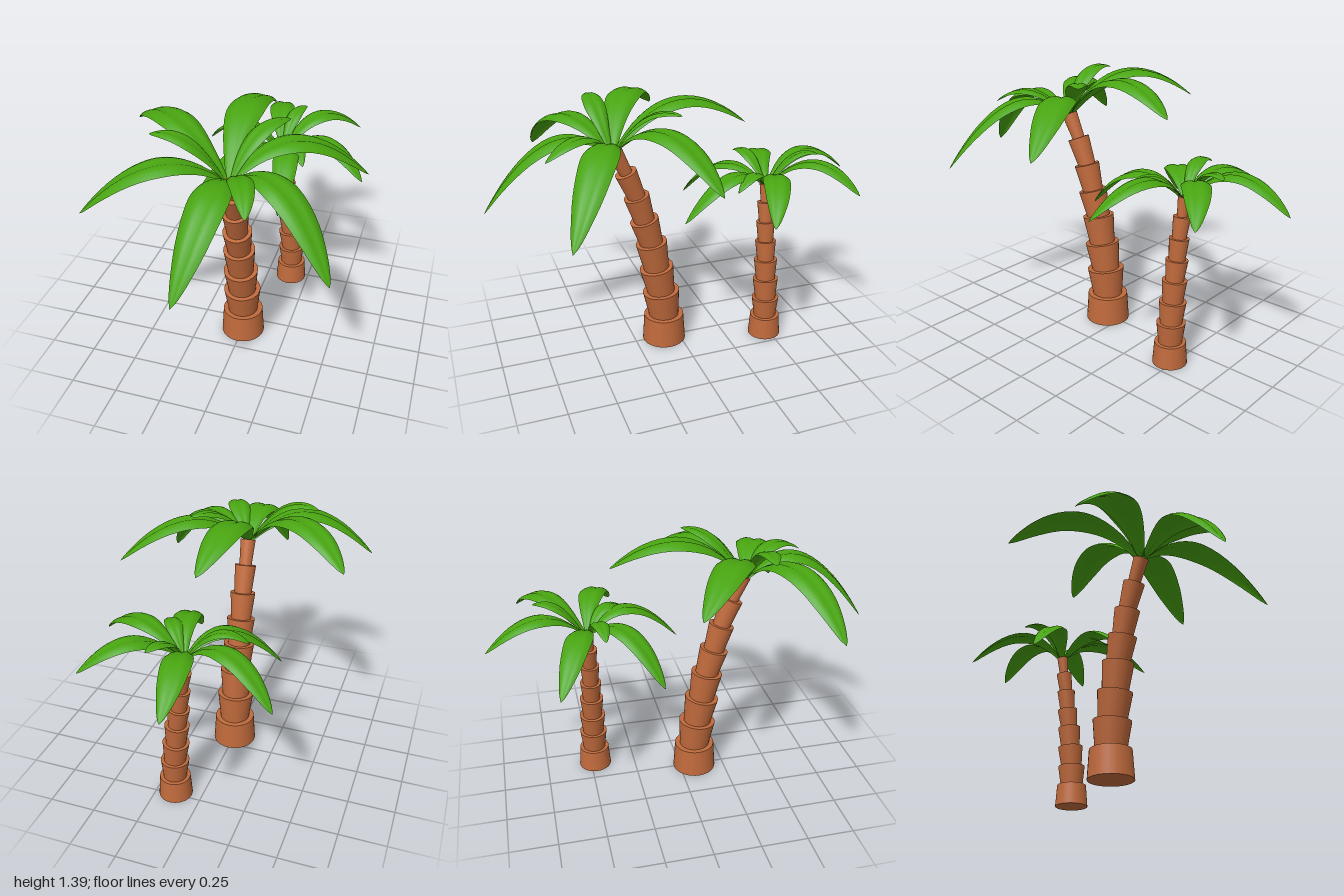
import * as THREE from 'three';

const bark = new THREE.MeshStandardMaterial({ color: 0xc06a3c });
const green = new THREE.MeshStandardMaterial({ color: 0x48a410, side: THREE.DoubleSide });
const UP = new THREE.Vector3(0, 1, 0);

// Half-width of a frond from stalk (0) to tip (1), as a fraction of its widest half-width
const WIDTHS = [[0, 0.2], [0.2, 0.62], [0.4, 0.95], [0.55, 1], [0.75, 0.84], [0.88, 0.56], [0.96, 0.28], [1, 0.02]];
const widthCurve = new THREE.SplineCurve(WIDTHS.map(([t, w]) => new THREE.Vector2(t, w)));

// Arched leaf: a gull-wing cross-section with a sunken midrib swept along a bowed curve
function frond(base, tip, lift, halfWidth) {
  const dir = tip.clone().sub(base).setY(0);
  const length = dir.length();
  dir.normalize();
  const side = new THREE.Vector3(dir.z, 0, -dir.x);
  const control = base.clone().lerp(tip, 0.45).addScaledVector(side, length * 0.1);
  control.y = (base.y + tip.y) / 2 + lift;
  const path = new THREE.QuadraticBezierCurve3(base, control, tip);

  const rows = 24, cols = 8, positions = [], index = [];
  for (let i = 0; i <= rows; i++) {
    const profile = widthCurve.getPoint(i / rows);
    const t = Math.min(1, profile.x), w = halfWidth * profile.y;
    const centre = path.getPoint(t), tangent = path.getTangent(t);
    const across = new THREE.Vector3().crossVectors(UP, tangent).normalize();
    const normal = new THREE.Vector3().crossVectors(tangent, across);
    for (let j = 0; j <= cols; j++) {
      const u = (j / cols) * 2 - 1, a = Math.abs(u);
      const p = centre.clone().addScaledVector(across, u * w)
        .addScaledVector(normal, w * (0.5 * a - 0.7 * a * a));
      positions.push(p.x, p.y, p.z);
      if (i < rows && j < cols) {
        const k = i * (cols + 1) + j, n = k + cols + 1;
        index.push(k, n, k + 1, k + 1, n, n + 1);
      }
    }
  }
  const geometry = new THREE.BufferGeometry();
  geometry.setAttribute('position', new THREE.Float32BufferAttribute(positions, 3));
  geometry.setIndex(index);
  geometry.computeVertexNormals();
  const mesh = new THREE.Mesh(geometry, green);
  mesh.name = 'frond';
  return mesh;
}

// Trunk of stacked flared segments; each ring is [x, y, z, top radius]
function trunk(rings, baseRadius) {
  const group = new THREE.Group();
  group.name = 'trunk';
  for (let i = 1; i < rings.length; i++) {
    const from = new THREE.Vector3(...rings[i - 1]), to = new THREE.Vector3(...rings[i]);
    const axis = to.clone().sub(from);
    const top = rings[i][3];
    const bottom = i === 1 ? baseRadius : top * 0.8;
    const sink = i === 1 ? 0 : 0.012;
    const length = axis.length() + sink;
    axis.normalize();
    const mesh = new THREE.Mesh(new THREE.CylinderGeometry(top, bottom, length, 32), bark);
    mesh.name = i === 1 ? 'trunkBase' : 'trunkSegment';
    if (i > 1) mesh.quaternion.setFromUnitVectors(UP, axis);
    mesh.position.copy(to).addScaledVector(axis, -length / 2);
    group.add(mesh);
  }
  return group;
}

// Whole palm; each frond is [tip x, tip y, tip z, lift, half-width]
function palm(name, rings, baseRadius, crown, fronds) {
  const group = new THREE.Group();
  group.name = name;
  group.add(trunk(rings, baseRadius));
  const leaves = new THREE.Group();
  leaves.name = 'crown';
  const centre = new THREE.Vector3(...crown);
  for (const [x, y, z, lift, w] of fronds) {
    const tip = new THREE.Vector3(x, y, z);
    const out = tip.clone().sub(centre).setY(0).normalize();
    leaves.add(frond(centre.clone().addScaledVector(out, 0.015), tip, lift, w));
  }
  group.add(leaves);
  return group;
}

export function createModel() {
  const model = new THREE.Group();
  model.name = 'palmTrees';

  // Tall palm leaning forward
  model.add(palm('tallPalm', [
    [0, 0, 0.085, 0.12], [0, 0.155, 0.085, 0.11], [0, 0.305, 0.1, 0.101],
    [0, 0.455, 0.125, 0.093], [0, 0.61, 0.152, 0.085], [0.002, 0.75, 0.19, 0.077],
    [0.005, 0.89, 0.23, 0.068], [0.01, 1.03, 0.285, 0.058], [0.015, 1.155, 0.343, 0.041],
  ], 0.12, [0.015, 1.15, 0.355], [
    [0.05, 1.245, -0.35, 0.36, 0.092],
    [0.62, 1.09, 0, 0.37, 0.09],
    [0.58, 0.905, 0.69, 0.42, 0.09],
    [-0.04, 0.885, 1, 0.43, 0.092],
    [-0.62, 1.035, 0.65, 0.38, 0.09],
    [-0.585, 1.215, -0.03, 0.36, 0.09],
    [0.235, 1.365, 0.06, 0.16, 0.055],
    [0.205, 1.2, 0.72, 0.2, 0.058],
    [-0.36, 1.355, 0.38, 0.19, 0.055],
  ]));

  // Short palm behind, leaning slightly to its right
  model.add(palm('shortPalm', [
    [0.145, 0, -0.475, 0.09], [0.145, 0.12, -0.475, 0.081], [0.142, 0.23, -0.475, 0.075],
    [0.132, 0.345, -0.475, 0.07], [0.122, 0.46, -0.475, 0.064], [0.108, 0.568, -0.476, 0.057],
    [0.096, 0.68, -0.476, 0.051], [0.079, 0.79, -0.477, 0.044], [0.067, 0.89, -0.478, 0.031],
  ], 0.09, [0.067, 0.885, -0.48], [
    [-0.03, 0.885, -1, 0.3, 0.07],
    [0.455, 0.92, -0.82, 0.29, 0.068],
    [0.555, 0.86, -0.3, 0.29, 0.068],
    [0.17, 0.77, 0.02, 0.31, 0.068],
    [-0.33, 0.74, -0.15, 0.31, 0.068],
    [-0.43, 0.8, -0.67, 0.3, 0.068],
    [0.14, 1.05, -0.745, 0.14, 0.042],
    [0.235, 0.93, -0.245, 0.17, 0.042],
    [-0.24, 0.985, -0.42, 0.17, 0.042],
  ]));
  return model;
}
